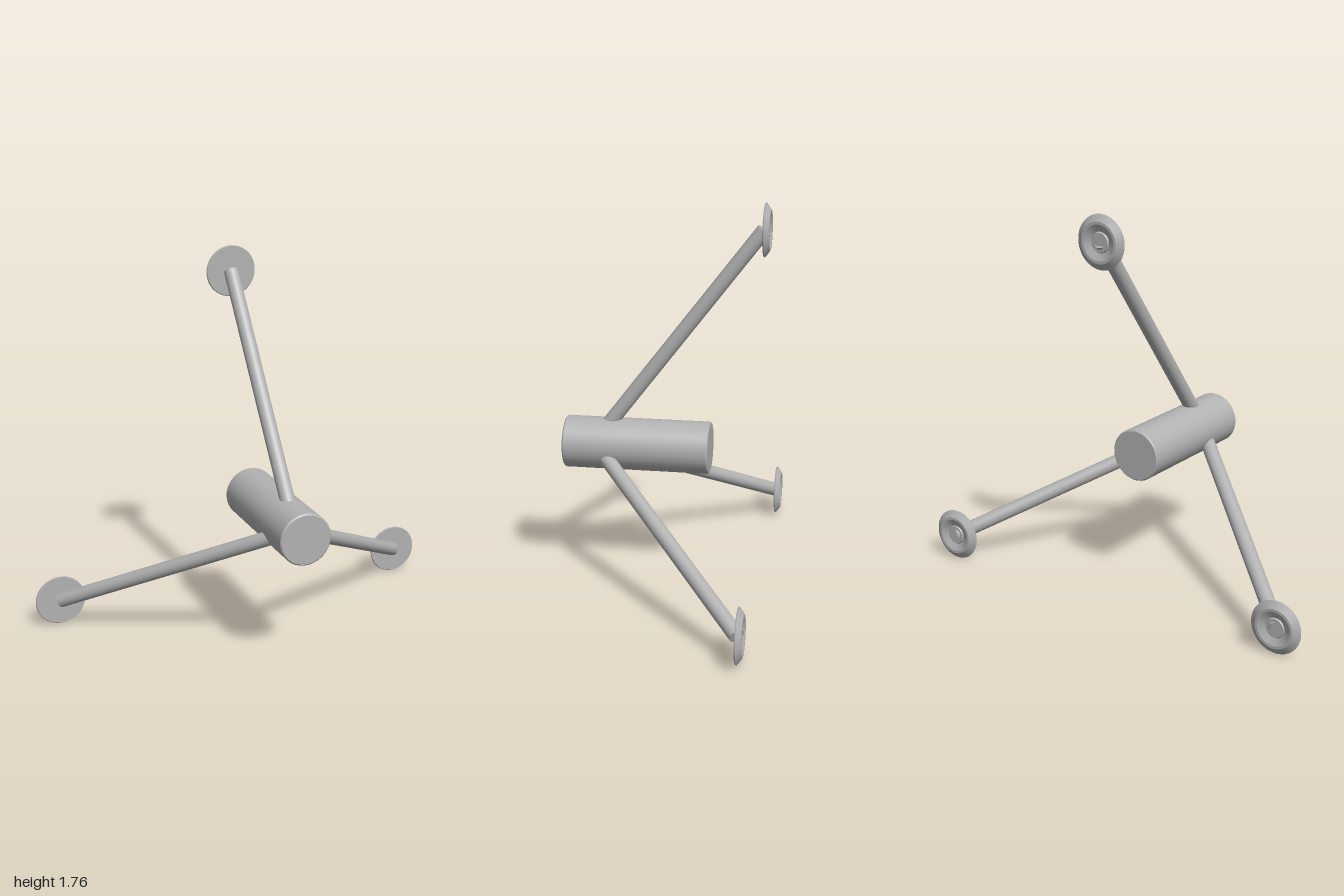
import * as THREE from 'three';

export function createModel() {
  const model = new THREE.Group();
  const grey = new THREE.MeshStandardMaterial({ color: 0xb2b2b2 });
  grey.name = 'grey';
  const hubY = 0.6275, reach = 1.015;

  const add = (parent, name, geometry) => {
    const mesh = new THREE.Mesh(geometry, grey);
    mesh.name = name;
    parent.add(mesh);
    return mesh;
  };

  // Lathe with sharp edges: one strip per profile segment, turned to lie along z
  const turned = (parent, name, profile) => {
    const part = new THREE.Group();
    part.name = name;
    for (let i = 0; i < profile.length - 1; i++) {
      const points = [profile[i], profile[i + 1]].map(([r, z]) => new THREE.Vector2(r, z));
      add(part, name + 'Surface', new THREE.LatheGeometry(points, 48).rotateX(Math.PI / 2));
    }
    parent.add(part);
    return part;
  };

  // Central barrel with softened rims
  const hub = turned(model, 'barrel', [
    [0, -0.207], [0.114, -0.207], [0.12, -0.201],
    [0.12, 0.459], [0.114, 0.465], [0, 0.465],
  ]);
  hub.position.y = hubY;

  // Three legs spread evenly around the barrel
  const start = new THREE.Vector3(0, 0.06, 0.291);
  const end = new THREE.Vector3(0, reach, -0.437);
  const along = end.clone().sub(start);
  for (let i = 0; i < 3; i++) {
    const leg = new THREE.Group();
    leg.name = 'leg' + (i + 1);
    leg.position.y = hubY;
    leg.rotation.z = i * Math.PI * 2 / 3;
    model.add(leg);

    const strut = add(leg, 'strut', new THREE.CylinderGeometry(0.034, 0.034, along.length(), 32));
    strut.position.copy(start).add(end).multiplyScalar(0.5);
    strut.quaternion.setFromUnitVectors(new THREE.Vector3(0, 1, 0), along.clone().normalize());

    // Foot: flat front, bevelled rim, dished back with a small central seat
    const foot = turned(leg, 'footPad', [
      [0, -0.456], [0.042, -0.456], [0.046, -0.45], [0.078, -0.465],
      [0.09, -0.465], [0.12, -0.443], [0.117, -0.438], [0, -0.438],
    ]);
    foot.position.y = reach;
  }
  return model;
}
